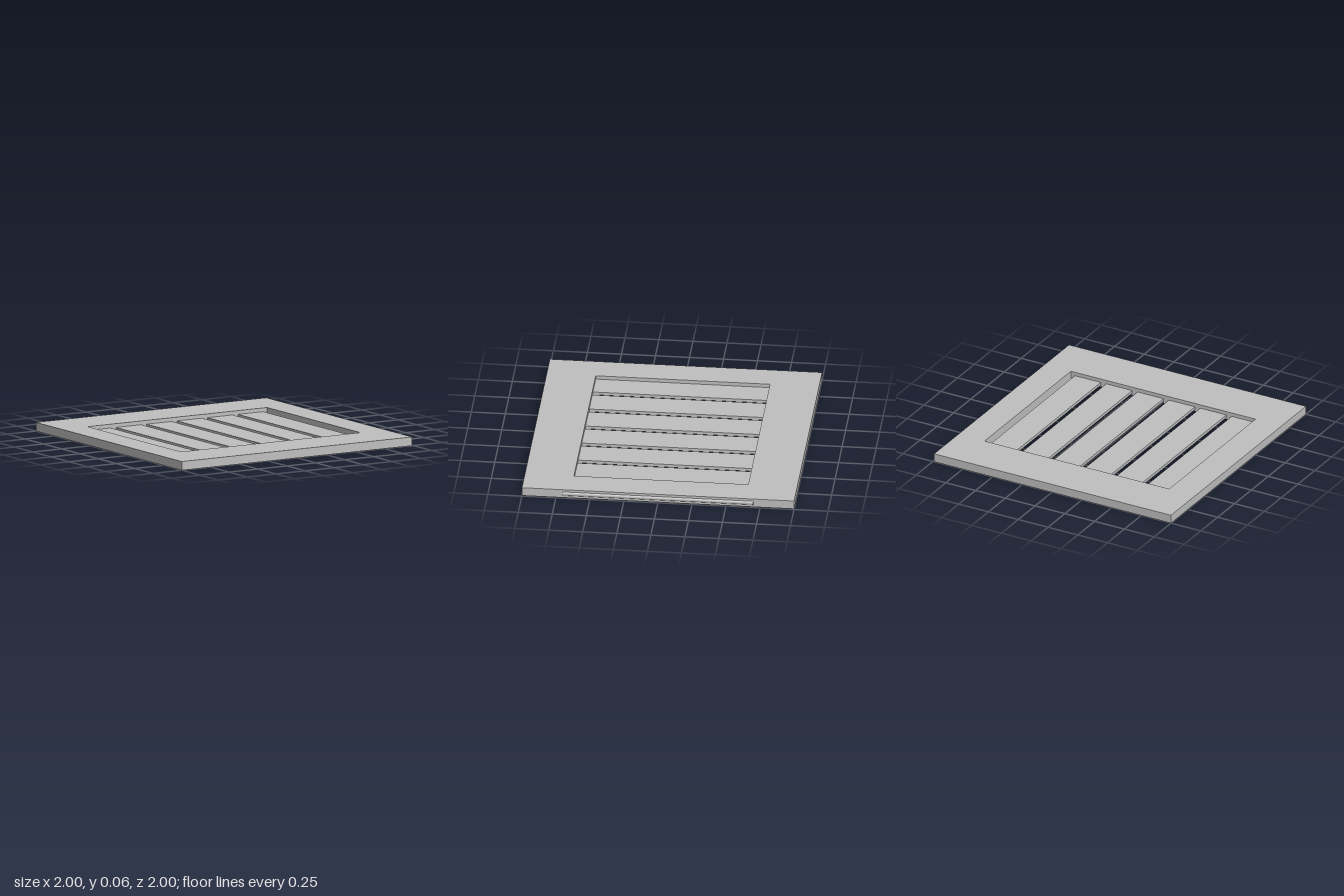
import * as THREE from 'three';

export function createModel() {
  const group = new THREE.Group();
  const grey = new THREE.MeshStandardMaterial({ color: 0xc0c0c0 });
  grey.name = 'light grey';

  const add = (name, geometry, x, y, z) => {
    const mesh = new THREE.Mesh(geometry, grey);
    mesh.name = name;
    mesh.position.set(x, y, z);
    group.add(mesh);
    return mesh;
  };
  const rectangle = (Type, x0, x1, z) => new Type([
    new THREE.Vector2(x0, -z), new THREE.Vector2(x1, -z),
    new THREE.Vector2(x1, z), new THREE.Vector2(x0, z),
  ]);

  // Flat surround with a rectangular opening
  const outline = rectangle(THREE.Shape, -1, 0.99, 1);
  outline.holes.push(rectangle(THREE.Path, -0.78, 0.77, 0.64));
  const frame = new THREE.ExtrudeGeometry(outline, { depth: 0.065, bevelEnabled: false });
  frame.rotateX(-Math.PI / 2);
  add('frame', frame, 0, 0, 0);

  // Recessed slats; the first tucks into the side of the frame
  const slatWidth = 0.218, pitch = 0.2635, bottom = 0.014, thickness = 0.023;
  const slat = new THREE.BoxGeometry(slatWidth, thickness, 1.3);
  for (let i = 0; i < 6; i++) {
    add(`slat${i + 1}`, slat, -0.69 + i * pitch, bottom + thickness / 2, 0);
  }

  // Hinge rod, mostly sunk into the left edge
  const rod = new THREE.CylinderGeometry(0.016, 0.016, 1.4, 24);
  rod.rotateX(Math.PI / 2);
  add('hingeRod', rod, 0.984, 0.032, 0);

  return group;
}
